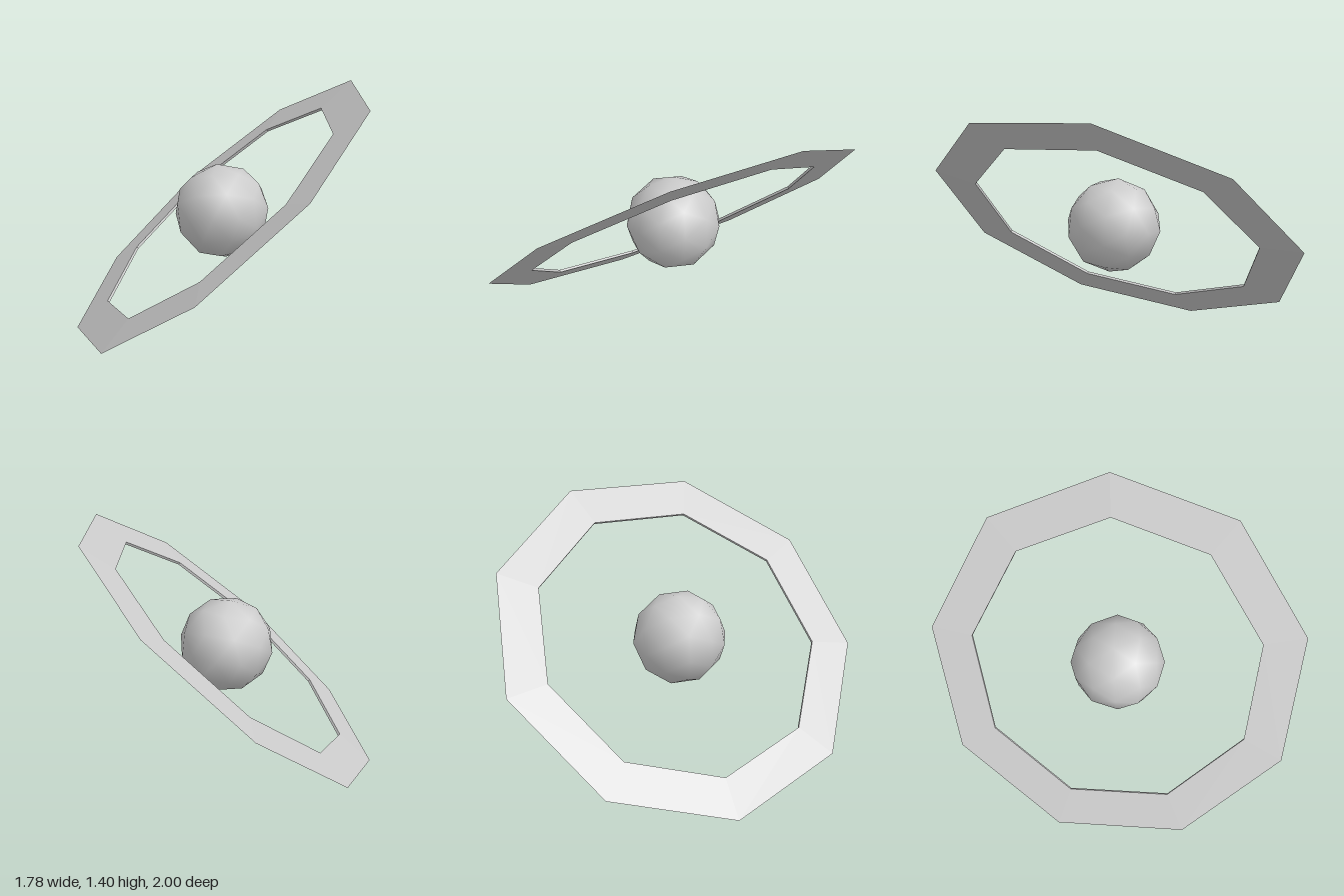
import * as THREE from 'three';

const deg = THREE.MathUtils.degToRad;

export function createModel() {
  const model = new THREE.Group();
  model.name = 'ringedPlanet';

  // Low-poly globe with smooth normals
  const globe = new THREE.Mesh(
    new THREE.IcosahedronGeometry(0.267, 1),
    new THREE.MeshStandardMaterial({ color: 0xcccccc })
  );
  globe.name = 'globe';
  globe.position.set(0.03, 0.713, 0);
  globe.rotation.set(0, deg(-74.3), deg(6.5), 'ZXY');
  model.add(globe);

  // Nine-sided ring: a three-sided tube squashed to a thin wedge,
  // sharp at the rim with a narrow wall around the hole
  const outer = 1.085, inner = 0.841;
  const tube = (outer - inner) / 1.5;
  const ringGeometry = new THREE.TorusGeometry(outer - tube, tube, 3, 9);
  ringGeometry.scale(1, 1, 0.053);
  ringGeometry.rotateX(Math.PI / 2);
  const ring = new THREE.Mesh(
    ringGeometry,
    new THREE.MeshStandardMaterial({ color: 0xcccccc, flatShading: true })
  );
  ring.name = 'ring';
  ring.position.set(0.012, 0.709, 0);
  ring.rotation.set(deg(20.8), 0, deg(36.1), 'ZXY');
  model.add(ring);

  return model;
}
